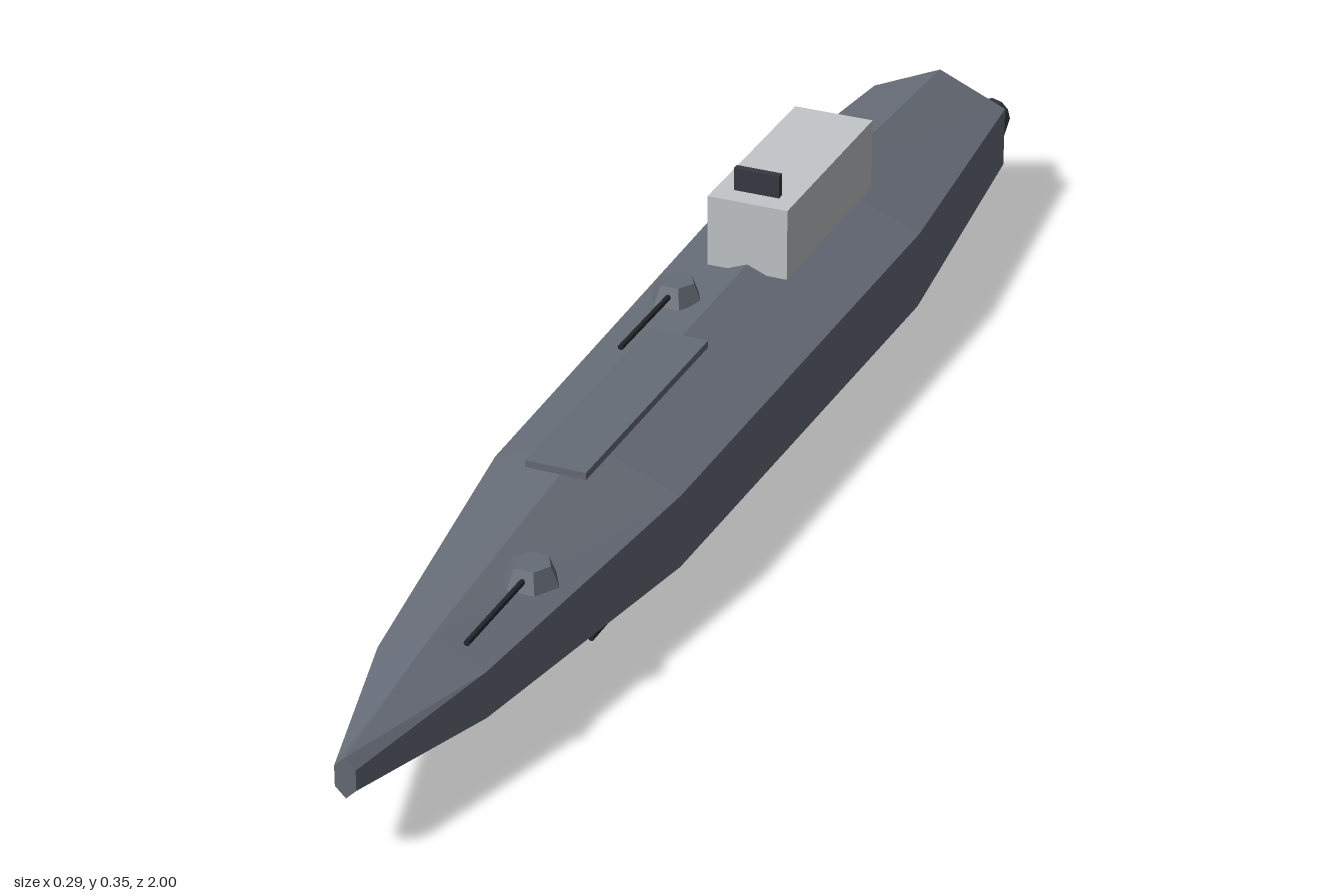
import * as THREE from 'three';

function material(name, color) {
  const m = new THREE.MeshStandardMaterial({ color, flatShading: true });
  m.name = name;
  return m;
}

// Six-sided hull lofted through [z, halfWidth, halfHeight] stations, nose to stern
function hullGeometry(stations, cy) {
  const rings = stations.map(([z, w, h]) => [
    [0, h], [w, h / 2], [w, -h / 2], [0, -h], [-w, -h / 2], [-w, h / 2],
  ].map(([x, y]) => [x, cy + y, z]));
  const pos = [];
  const tri = (...pts) => pts.forEach((p) => pos.push(...p));
  for (let i = 0; i < rings.length - 1; i++) {
    for (let k = 0; k < 6; k++) {
      const n = (k + 1) % 6;
      const a = rings[i][k], b = rings[i][n], c = rings[i + 1][n], d = rings[i + 1][k];
      tri(a, b, c);
      tri(a, c, d);
    }
  }
  const nose = rings[0], stern = rings[rings.length - 1];
  for (let k = 1; k < 5; k++) {
    tri(nose[0], nose[k + 1], nose[k]);
    tri(stern[0], stern[k], stern[k + 1]);
  }
  const g = new THREE.BufferGeometry();
  g.setAttribute('position', new THREE.Float32BufferAttribute(pos, 3));
  g.computeVertexNormals();
  return g;
}

export function createModel() {
  const model = new THREE.Group();
  model.name = 'ship';
  const hullGrey = material('hullGrey', 0x666c77);
  const paleGrey = material('paleGrey', 0xc3c7c9);
  const darkGrey = material('darkGrey', 0x363a43);
  const gunBlack = material('gunBlack', 0x24272c);
  const engineGlow = material('engineGlow', 0x6cbcd2);

  const add = (name, geometry, mat, x, y, z, parent = model) => {
    const mesh = new THREE.Mesh(geometry, mat);
    mesh.name = name;
    mesh.position.set(x, y, z);
    parent.add(mesh);
    return mesh;
  };
  // Cylinder lying along z; the first radius is the +z end
  const rod = (rFront, rBack, length, sides) =>
    new THREE.CylinderGeometry(rFront, rBack, length, sides).rotateX(Math.PI / 2);

  // Hull
  add('hull', hullGeometry([
    [1, 0.014, 0.028],
    [0.77, 0.072, 0.064],
    [0.32, 0.129, 0.103],
    [-0.48, 0.143, 0.113],
    [-0.935, 0.103, 0.09],
  ], 0.116), hullGrey, 0, 0, 0);

  // Deck plate, bridge and sensor panel
  add('deckPlate', new THREE.BoxGeometry(0.084, 0.01, 0.385), hullGrey, 0, 0.225, 0.222);
  add('bridge', new THREE.BoxGeometry(0.116, 0.103, 0.31), paleGrey, 0, 0.2655, -0.357);
  add('sensorPanel', new THREE.BoxGeometry(0.066, 0.036, 0.01), darkGrey, 0, 0.332, -0.238);

  // Deck turrets with forward barrels
  for (const [x, y, z] of [[0.058, 0.197, 0.61], [-0.06, 0.224, -0.1]]) {
    const turret = new THREE.Group();
    turret.name = 'turret';
    turret.position.set(x, y, z);
    model.add(turret);
    const base = new THREE.CylinderGeometry(0.026, 0.037, 0.027, 6).rotateY(Math.PI / 6);
    add('turretBase', base, hullGrey, 0, 0, 0, turret);
    add('turretBarrel', rod(0.004, 0.004, 0.18, 8), gunBlack, 0, 0, 0.092, turret);
  }

  // Staggered guns under the keel
  for (const [x, z] of [[0.058, 0.36], [-0.058, -0.37]]) {
    add('keelGun', rod(0.004, 0.004, 0.16, 8), gunBlack, x, 0.008, z);
  }

  // Twin engines with glowing exhausts
  for (const side of [-1, 1]) {
    add('engineNozzle', rod(0.043, 0.028, 0.07, 12), darkGrey, side * 0.061, 0.116, -0.963);
    add('engineExhaust', rod(0.027, 0.027, 0.004, 12), engineGlow, side * 0.061, 0.116, -0.998);
  }

  return model;
}
